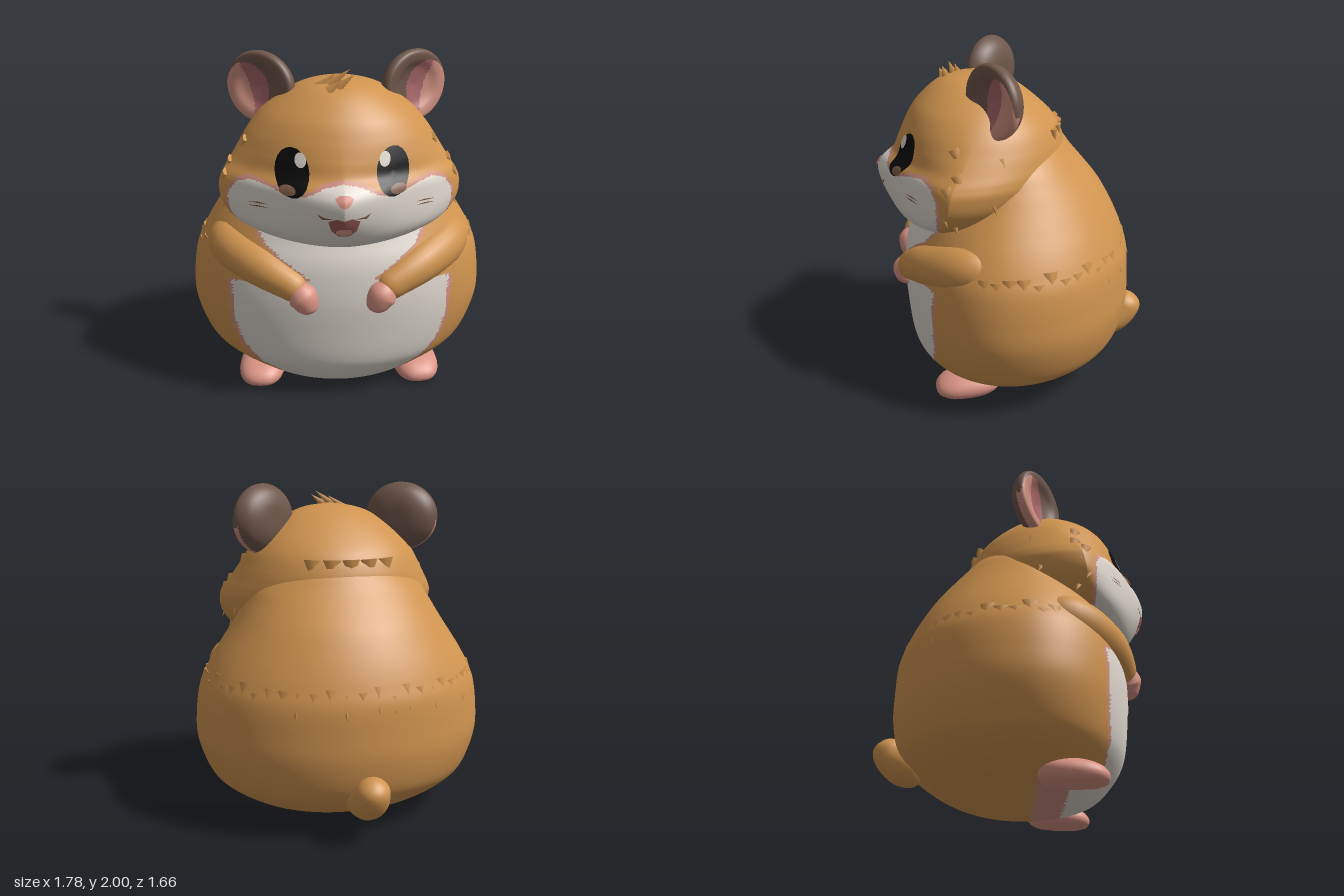
import * as THREE from 'three';

const mat = (name, color) => {
  const m = new THREE.MeshStandardMaterial({ color });
  m.name = name;
  return m;
};
const fur = mat('golden fur', 0xd0944f), white = mat('cream fur', 0xe0d9d0), pink = mat('pink skin', 0xdb9485);
const trim = mat('rosy fur edge', 0xcf9080), brown = mat('ear brown', 0x70574a), rose = mat('inner ear rose', 0xa8676a);
const black = mat('eye black', 0x0b0b0b), glint = mat('eye brown', 0x805c48), red = mat('mouth red', 0x9c5a54);

const V = (x, y, z) => new THREE.Vector3(x, y, z);

// Piecewise linear lookup in a table of [key, value]
function lookup(table, k) {
  let i = 1;
  while (i < table.length - 1 && table[i][0] < k) i++;
  const [a, b] = [table[i - 1], table[i]];
  return a[1] + (b[1] - a[1]) * THREE.MathUtils.clamp((k - a[0]) / (b[0] - a[0]), 0, 1);
}

// Skin a list of closed rings
function skin(rings) {
  const n = rings[0].length, idx = [];
  for (let j = 0; j < rings.length - 1; j++)
    for (let i = 0; i < n; i++) {
      const a = j * n + i, c = j * n + (i + 1) % n;
      idx.push(a, a + n, c, c, a + n, c + n);
    }
  const g = new THREE.BufferGeometry().setFromPoints(rings.flat());
  g.setIndex(idx);
  g.computeVertexNormals();
  return g;
}

// Sort triangles into material groups by the position of their centre
function paint(g, count, pick) {
  const p = g.attributes.position, src = g.index.array, lists = Array.from({ length: count }, () => []);
  for (let i = 0; i < src.length; i += 3) {
    const [a, b, c] = [src[i], src[i + 1], src[i + 2]];
    const mid = (f) => (p[f](a) + p[f](b) + p[f](c)) / 3;
    lists[pick(mid('getX'), mid('getY'), mid('getZ'))].push(a, b, c);
  }
  let start = 0;
  lists.forEach((l, m) => { g.addGroup(start, l.length, m); start += l.length; });
  g.setIndex(lists.flat());
  return g;
}

// Smooth horizontal sections from rows of [y, halfWidth, zFront, zBack, zWidest, frontPower]
function sections(rows, n) {
  const a = new THREE.CatmullRomCurve3(rows.map((r) => V(r[0], r[1], r[2])), false, 'catmullrom', 0.5);
  const b = new THREE.CatmullRomCurve3(rows.map((r) => V(r[3], r[4], r[5])), false, 'catmullrom', 0.5);
  return Array.from({ length: n + 1 }, (_, i) => {
    const p = a.getPoint(i / n), q = b.getPoint(i / n);
    return { y: p.x, w: Math.max(p.y, 0), zf: p.z, zb: q.x, zc: q.y, p: q.z };
  });
}
function sectionAt(secs, y) {
  let i = 1;
  while (i < secs.length - 1 && secs[i].y < y) i++;
  const a = secs[i - 1], b = secs[i], k = (y - a.y) / (b.y - a.y), out = {};
  for (const f in a) out[f] = a[f] + (b[f] - a[f]) * k;
  return out;
}
function ringPoint(s, ang) {
  const c = Math.cos(ang), d = Math.sin(ang), e = d > 0 ? 2 / s.p : 1;
  return V(s.w * Math.sign(c) * Math.abs(c) ** e, s.y, s.zc + (d > 0 ? (s.zf - s.zc) * d ** e : (s.zc - s.zb) * d));
}
const loft = (secs, n) => skin(secs.map((s) => Array.from({ length: n }, (_, i) => ringPoint(s, (i / n) * Math.PI * 2))));

// Rounded tube through [x, y, z, radius] points
function limb(pts, cap = 0.2, n = 26, sides = 24) {
  const curve = new THREE.CatmullRomCurve3(pts.map((p) => V(p[0], p[1], p[2])));
  const radii = pts.map((p, i) => [i / (pts.length - 1), p[3]]);
  const rings = [];
  for (let j = 0; j <= n; j++) {
    const t = (1 - Math.cos((j / n) * Math.PI)) / 2, o = curve.getPoint(t), d = curve.getTangent(t);
    const n1 = V(0, 1, 0.01).cross(d).normalize(), n2 = d.clone().cross(n1);
    const e = Math.min(1, Math.min(t, 1 - t) / cap), r = lookup(radii, t) * Math.sqrt(1 - (1 - e) ** 2);
    rings.push(Array.from({ length: sides }, (_, i) => {
      const a = (i / sides) * Math.PI * 2;
      return o.clone().addScaledVector(n1, r * Math.cos(a)).addScaledVector(n2, -r * Math.sin(a));
    }));
  }
  return skin(rings);
}

const bodyRows = [
  [0, 0, 0.08, 0.08, 0.08, 2], [0.015, 0.3, 0.36, -0.2, 0.05, 2], [0.045, 0.47, 0.46, -0.33, 0.04, 2],
  [0.1, 0.6, 0.53, -0.46, 0.03, 2], [0.2, 0.75, 0.605, -0.6, 0.03, 2], [0.3, 0.825, 0.64, -0.68, 0.03, 2],
  [0.48, 0.885, 0.66, -0.72, 0.03, 2], [0.65, 0.885, 0.67, -0.72, 0.03, 2], [0.8, 0.862, 0.66, -0.71, 0.03, 2],
  [0.9, 0.82, 0.64, -0.68, 0.03, 2], [1, 0.765, 0.6, -0.64, 0.03, 2], [1.1, 0.7, 0.56, -0.59, 0.03, 2],
  [1.2, 0.635, 0.5, -0.53, 0.03, 2], [1.3, 0.575, 0.45, -0.45, 0.03, 2], [1.4, 0.51, 0.4, -0.365, 0.03, 2],
  [1.5, 0.4, 0.3, -0.29, 0.03, 2], [1.6, 0.24, 0.2, -0.18, 0.05, 2], [1.65, 0, 0.1, 0.1, 0.1, 2]];
const headRows = [
  [0.98, 0, 0.48, 0.48, 0.48, 1.9], [0.99, 0.22, 0.6, 0.25, 0.45, 1.8], [1.03, 0.43, 0.68, 0.05, 0.42, 1.7],
  [1.1, 0.59, 0.74, -0.08, 0.4, 1.5], [1.2, 0.67, 0.795, -0.2, 0.38, 1.3], [1.3, 0.685, 0.815, -0.28, 0.36, 1.25],
  [1.36, 0.665, 0.785, -0.31, 0.34, 1.35], [1.42, 0.625, 0.715, -0.315, 0.3, 1.5], [1.5, 0.575, 0.68, -0.3, 0.26, 1.7],
  [1.6, 0.51, 0.635, -0.25, 0.22, 1.9], [1.7, 0.42, 0.575, -0.15, 0.2, 2], [1.8, 0.28, 0.47, -0.02, 0.2, 2],
  [1.85, 0.16, 0.37, 0.08, 0.22, 2], [1.875, 0, 0.22, 0.22, 0.22, 2]];
// Half-width of the pale belly by height, and top edge of the pale muzzle by x
const bellyEdge = [[0, 0.32], [0.13, 0.36], [0.2, 0.47], [0.35, 0.58], [0.5, 0.62], [0.74, 0.63], [0.77, 0.5], [0.8, 0.17], [0.97, 0.42], [1.1, 0.5]];
const muzzleEdge = [[0, 1.405], [0.1, 1.385], [0.2, 1.335], [0.3, 1.325], [0.4, 1.36], [0.5, 1.375], [0.58, 1.345], [0.64, 1.26], [0.665, 1.1]];

export function createModel() {
  const root = new THREE.Group();
  const add = (name, geo, material) => {
    const m = new THREE.Mesh(geo, material);
    m.name = name;
    root.add(m);
    return m;
  };
  // Flat pointed tuft lying against a surface that faces "out"
  const tuft = (name, pos, dir, out, len, w) => {
    const m = add(name, new THREE.ConeGeometry(w, len, 6), fur);
    const y = dir.normalize(), x = y.clone().cross(out).normalize();
    m.quaternion.setFromRotationMatrix(new THREE.Matrix4().makeBasis(x, y, x.clone().cross(y)));
    m.position.copy(pos);
    m.scale.z = 0.4;
  };

  // Body with pale belly, rosy edge and underside
  const body = sections(bodyRows, 140), head = sections(headRows, 130);
  add('body', paint(loft(body, 190), 3, (x, y, z) => {
    const f = Math.min(lookup(bellyEdge, y) - Math.abs(x), z - 0.28);
    return f > 0 ? 1 : f > (y < 0.05 ? -0.18 : -0.025) ? 2 : 0;
  }), [fur, white, trim]);

  // Head with pale muzzle
  add('head', paint(loft(head, 180), 3, (x, y, z) => {
    const f = Math.min(lookup(muzzleEdge, Math.abs(x)) - y, z - 0.44, 0.66 - Math.abs(x));
    return f > 0 ? 1 : f > -0.02 ? 2 : 0;
  }), [fur, white, trim]);

  // Thin plate that follows the face
  const faceZ = (x, y) => {
    const s = sectionAt(head, y);
    return s.zc + (s.zf - s.zc) * (1 - Math.min(1, Math.abs(x) / s.w) ** s.p) ** (1 / s.p);
  };
  const plate = (name, material, corners, lift) => {
    let pts = corners.map((c) => new THREE.Vector2(...c));
    if (THREE.ShapeUtils.area(pts) > 0) pts.reverse();
    pts = pts.flatMap((p, i) => [0, 0.25, 0.5, 0.75].map((k) => p.clone().lerp(pts[(i + 1) % pts.length], k)));
    const mid = pts.reduce((a, p) => a.add(p), new THREE.Vector2()).divideScalar(pts.length);
    const rings = [1, 0.8, 0.6, 0.4, 0.2, 0].map((k) => pts.map((p) => {
      const q = mid.clone().lerp(p, k);
      return V(q.x, q.y, faceZ(q.x, q.y) + lift);
    }));
    add(name, skin(rings), material);
  };
  const oval = (cx, cy, rx, ry) => Array.from({ length: 20 }, (_, i) => {
    const a = (i / 20) * Math.PI * 2;
    return [cx + rx * Math.cos(a), cy + ry * Math.sin(a)];
  });

  // Nose and open mouth
  plate('nose', pink, [[-0.05, 1.345], [-0.025, 1.362], [0.025, 1.362], [0.05, 1.345], [0.025, 1.308], [0, 1.298], [-0.025, 1.308]], 0.008);
  plate('mouth', red, [[-0.085, 1.215], [-0.04, 1.235], [0, 1.225], [0.04, 1.235], [0.085, 1.215], [0.068, 1.155], [0.03, 1.12], [-0.03, 1.12], [-0.068, 1.155]], 0.006);
  plate('tongue', pink, oval(0, 1.148, 0.045, 0.024), 0.009);

  for (const s of [1, -1]) {
    const side = s > 0 ? 'left' : 'right';
    const P = (...pts) => pts.map(([x, ...r]) => [s * x, ...r]);

    // Eyes, lip lines and whisker marks
    plate(side + 'Eye', black, oval(s * 0.272, 1.445, 0.093, 0.125), 0.005);
    plate(side + 'EyeGlint', glint, oval(s * 0.298, 1.357, 0.045, 0.027), 0.008);
    plate(side + 'EyeHighlight', white, oval(s * 0.226, 1.51, 0.031, 0.04), 0.009);
    plate(side + 'LipLine', glint, P([0.05, 1.23], [0.12, 1.235], [0.145, 1.255], [0.12, 1.224]), 0.004);
    for (const y of [1.255, 1.235])
      plate(side + 'WhiskerMark', glint, P([0.4, y + 0.004], [0.46, y + 0.006], [0.52, y - 0.005], [0.46, y - 0.002]), 0.004);

    // Ears: thick shells with a rosy and pink lining towards the outer edge
    const profile = new THREE.SplineCurve([[0, -0.1], [0.1, -0.095], [0.18, -0.06], [0.222, 0], [0.21, 0.04], [0.16, 0.04], [0.1, 0.015], [0, 0]]
      .map((p) => new THREE.Vector2(...p)));
    const ear = paint(skin(profile.getPoints(48).map((p) => Array.from({ length: 64 }, (_, i) => {
      const a = (i / 64) * Math.PI * 2, r = Math.max(p.x, 0);
      return V(1.03 * r * Math.cos(a), -0.94 * r * Math.sin(a), p.y);
    }))), 3, (x, y, z) => {
      const inside = z > -0.01 && Math.hypot((s * x - 0.085) / 0.14, (y + 0.035) / 0.175) < 1;
      return !inside ? 0 : s * x - 0.35 * y > 0.075 ? 2 : 1;
    });
    ear.rotateY(s * 0.6);
    ear.translate(s * 0.435, 1.79, 0.115);
    add(side + 'Ear', ear, [brown, rose, trim]);

    // Arms sunk into the shoulders, and mitten paws
    add(side + 'Arm', limb(P([0.7, 0.92, 0.1, 0.14], [0.6, 0.88, 0.33, 0.14], [0.44, 0.83, 0.505, 0.12], [0.3, 0.77, 0.595, 0.095], [0.2, 0.715, 0.635, 0.085])), fur);
    add(side + 'Paw', limb(P([0.3, 0.775, 0.615, 0.07], [0.225, 0.71, 0.645, 0.088], [0.2, 0.655, 0.65, 0.07], [0.19, 0.605, 0.65, 0.06]), 0.35), pink);

    // Feet, flat underneath and blunt in front
    const foot = new THREE.SphereGeometry(1, 28, 18);
    const fp = foot.attributes.position;
    const blunt = (v) => Math.sign(v) * Math.abs(v) ** 0.8;
    for (let i = 0; i < fp.count; i++) {
      const z = blunt(fp.getZ(i));
      fp.setXYZ(i, 0.14 * blunt(fp.getX(i)), Math.max(0.08 * fp.getY(i) - 0.02 * z, -0.05), 0.2 * z);
    }
    foot.computeVertexNormals();
    foot.rotateY(s * 0.1);
    add(side + 'Foot', foot, pink).position.set(s * 0.475, 0.065, 0.285);

    // Cheek tufts
    for (let i = 0; i < 7; i++) {
      const p = ringPoint(sectionAt(head, 1.14 + i * 0.06), -0.1 + 0.3 * Math.sin(i * 2.3));
      tuft(side + 'CheekTuft', V(s * (p.x - 0.012), p.y, p.z), V(s * 0.35, -0.8, -0.3), V(s, 0, 0), 0.12, 0.035);
    }
  }

  // Stubby tail
  add('tail', limb([[0, 0.235, -0.52, 0.12], [0, 0.255, -0.65, 0.125], [0, 0.31, -0.725, 0.105], [0, 0.405, -0.765, 0.085]], 0.22), fur);

  // Jagged fur fringe round the back
  for (let i = 0; i < 34; i++) {
    const a = 0.25 - (i / 33) * (Math.PI + 0.5), out = V(Math.cos(a), 0, Math.sin(a));
    const p = ringPoint(sectionAt(body, 0.83 + 0.02 * Math.sin(i * 4.1)), a);
    tuft('furFringe', p.multiply(V(0.985, 1, 0.985)), V(out.x * 0.42, -1, out.z * 0.42), out, 0.13 + 0.03 * Math.sin(i * 2.7), 0.048);
  }
  // Small tufts at the nape and on the crown
  for (let i = -2; i <= 2; i++) {
    const p = ringPoint(sectionAt(head, 1.51), -Math.PI / 2 + i * 0.2);
    tuft('napeTuft', V(p.x, p.y, p.z + 0.02), V(i * 0.05, -1, -0.1), V(0, 0, -1), 0.13, 0.06);
  }
  for (const [x, y, z, l] of [[-0.07, 1.87, 0.33, 0.13], [0, 1.895, 0.36, 0.15], [0.03, 1.88, 0.4, 0.12], [-0.03, 1.86, 0.42, 0.1]])
    tuft('crownTuft', V(x, y, z), V(0.75, 0.6, 0.1), V(0, 0.5, 1), l, 0.032);
  return root;
}
